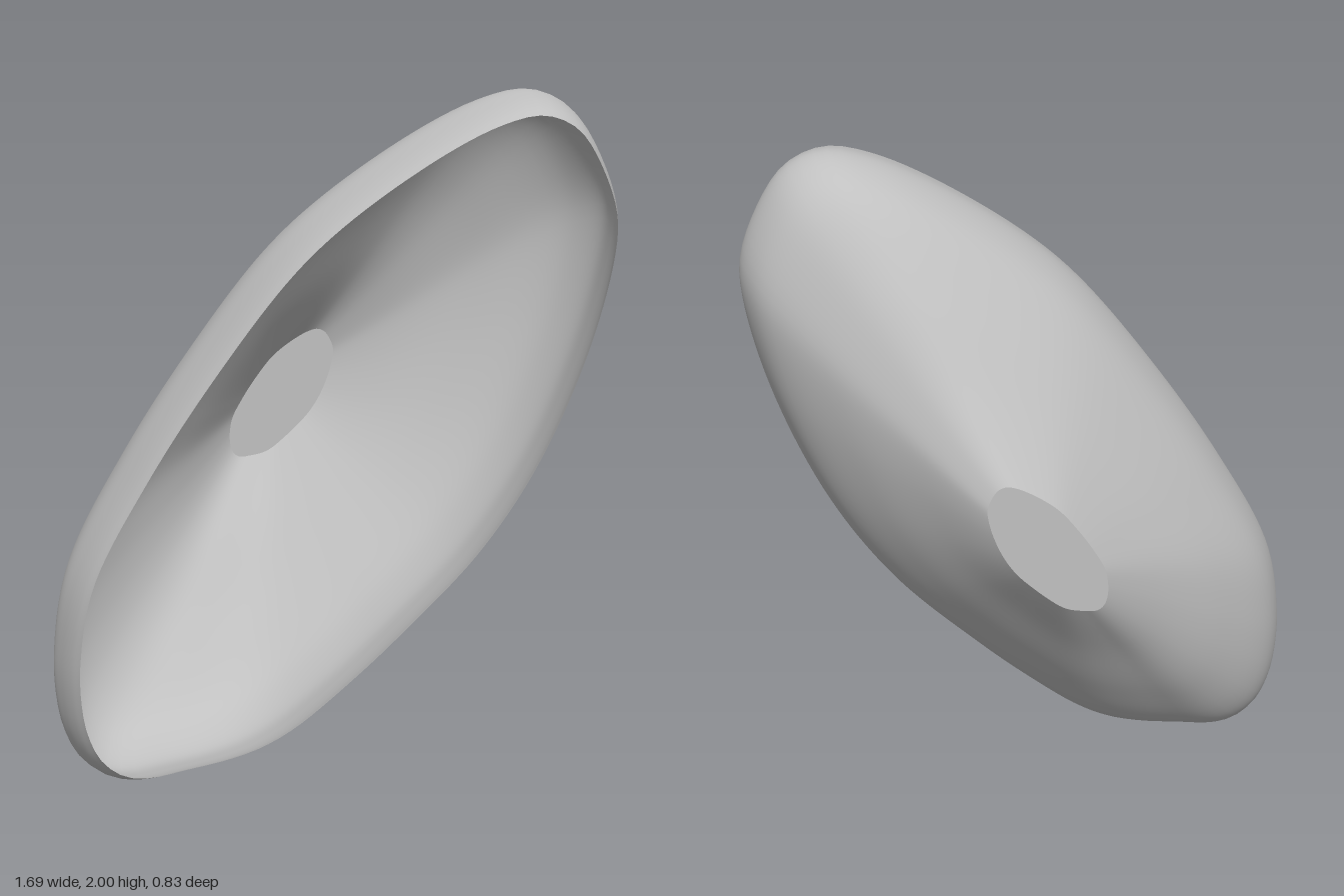
import * as THREE from 'three';

// Widest outline of the shell, clockwise from the top, relative to its centre
const OUTLINE = [
  [0.57, 1.0], [0.65, 0.982], [0.715, 0.937], [0.79, 0.82], [0.838, 0.69], [0.84, 0.58],
  [0.775, 0.29], [0.62, -0.08], [0.43, -0.36], [0.17, -0.615], [0.005, -0.757], [-0.17, -0.888],
  [-0.28, -0.942], [-0.39, -0.97], [-0.52, -0.986], [-0.65, -0.998], [-0.725, -0.978],
  [-0.79, -0.918], [-0.828, -0.83], [-0.845, -0.73], [-0.845, -0.585], [-0.8, -0.35],
  [-0.63, -0.035], [-0.415, 0.28], [-0.185, 0.563], [-0.01, 0.715], [0.27, 0.893], [0.45, 0.975],
];

// Depth profile: z, scale of the outline
const PROFILE = [
  [0.395, 0.946], [0.35, 0.968], [0.28, 0.989], [0.185, 1.0], [0.08, 0.96], [0, 0.892],
  [-0.136, 0.69], [-0.28, 0.43], [-0.415, 0.207],
];

const SEGMENTS = 140;
const LEVELS = 45;

function outlinePoints() {
  const curve = new THREE.CatmullRomCurve3(
    OUTLINE.map(([x, y]) => new THREE.Vector3(x, y, 0)), true, 'centripetal');
  return curve.getSpacedPoints(SEGMENTS).slice(0, SEGMENTS);
}

// Rings follow the profile; the open rim is slightly tilted, the back sits a little lower
function buildRings() {
  const outline = outlinePoints();
  const profile = new THREE.CatmullRomCurve3(
    PROFILE.map(([z, s]) => new THREE.Vector3(s, z, 0)), false, 'centripetal').getPoints(LEVELS);
  return profile.map(({ x: s, y: z }) => {
    const rim = THREE.MathUtils.smoothstep(z, 0.1, 0.395);
    const back = THREE.MathUtils.smoothstep(-z, 0, 0.41);
    return outline.map((p) => new THREE.Vector3(
      p.x * s + 0.005 * back,
      1 - 0.024 * back + p.y * s,
      z + rim * (0.03 * p.y - 0.02 * p.x)));
  });
}

function makeGeometry(points, index) {
  const geometry = new THREE.BufferGeometry().setFromPoints(points);
  geometry.setIndex(index);
  geometry.computeVertexNormals();
  return geometry;
}

export function createModel() {
  const group = new THREE.Group();
  group.name = 'reflectorShell';
  const grey = new THREE.MeshStandardMaterial({ color: 0xc0c0c0, side: THREE.DoubleSide });
  grey.name = 'grey';
  const rings = buildRings();

  // Curved bowl wall
  const index = [];
  for (let i = 0; i < LEVELS; i++) {
    for (let j = 0; j < SEGMENTS; j++) {
      const k = (j + 1) % SEGMENTS;
      const a = i * SEGMENTS + j, b = i * SEGMENTS + k;
      const c = a + SEGMENTS, d = b + SEGMENTS;
      index.push(a, b, c, b, d, c);
    }
  }
  const wall = new THREE.Mesh(makeGeometry(rings.flat(), index), grey);
  wall.name = 'bowlWall';

  // Flat plate closing the back
  const last = rings[LEVELS];
  const fan = [];
  for (let j = 0; j < SEGMENTS; j++) fan.push(SEGMENTS, j, (j + 1) % SEGMENTS);
  const centre = new THREE.Vector3(0.005, 0.976, last[0].z);
  const plate = new THREE.Mesh(makeGeometry([...last, centre], fan), grey);
  plate.name = 'backPlate';

  group.add(wall, plate);
  return group;
}
